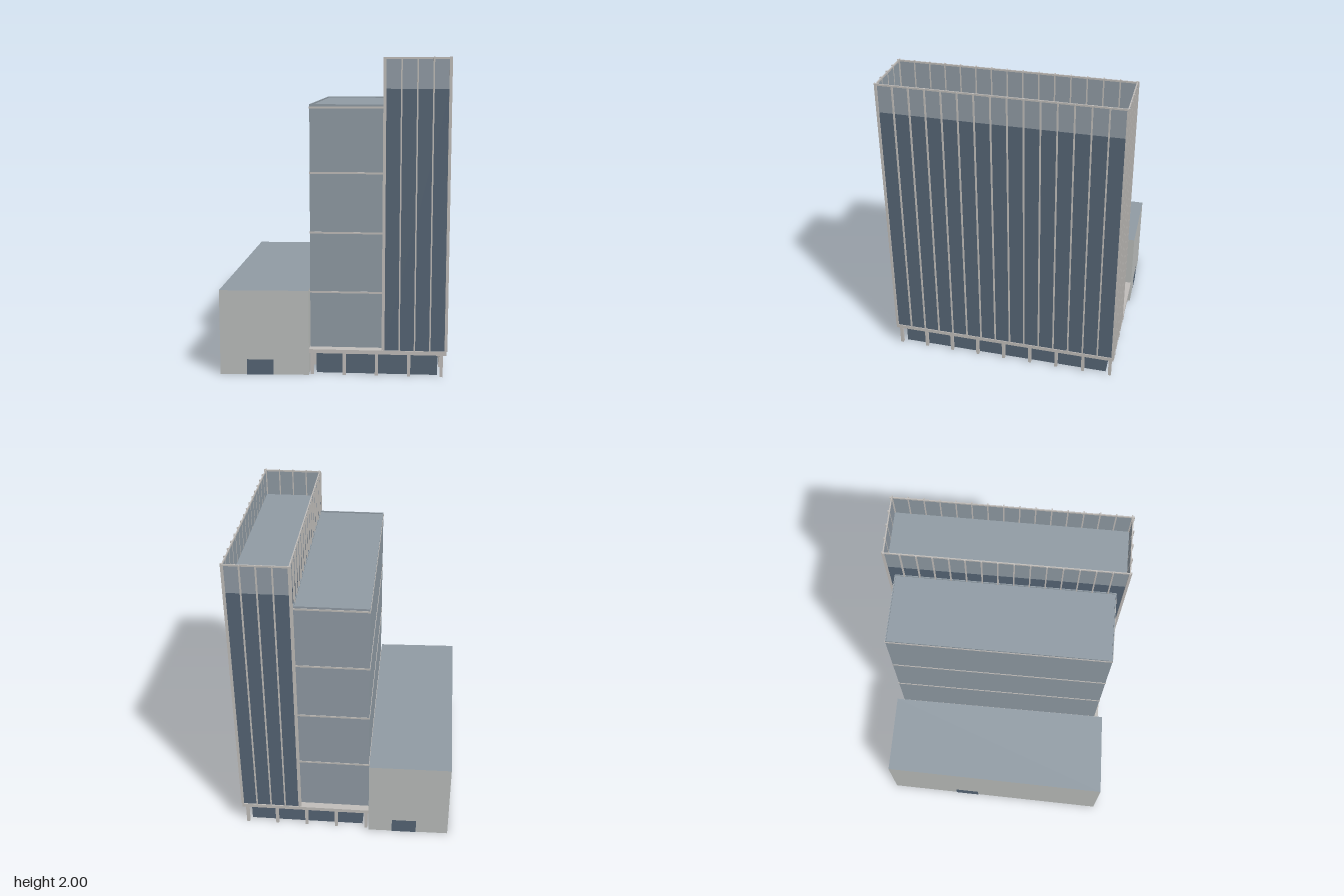
import * as THREE from 'three';

const mat = (name, color) => {
  const m = new THREE.MeshStandardMaterial({ color, side: THREE.DoubleSide });
  m.name = name;
  return m;
};

// Flat-sided surface from a list of four-cornered faces
function quads(faces) {
  const pos = [];
  for (const [a, b, c, d] of faces) for (const p of [a, b, c, a, c, d]) pos.push(...p);
  const g = new THREE.BufferGeometry();
  g.setAttribute('position', new THREE.Float32BufferAttribute(pos, 3));
  g.computeVertexNormals();
  return g;
}

// Upright face from plan point p to plan point q
const upright = (p, q, y0, y1) =>
  [[p[0], y0, p[1]], [q[0], y0, q[1]], [q[0], y1, q[1]], [p[0], y1, p[1]]];
// Ring of walls round a plan, and a level cap on it
const walls = (plan, y0, y1) => quads(plan.map((p, i) => upright(p, plan[(i + 1) % plan.length], y0, y1)));
const cap = (plan, y) => quads([plan.map(([x, z]) => [x, y, z])]);
const rect = (x0, x1, z0, z1) => [[x0, z1], [x1, z1], [x1, z0], [x0, z0]];

export function createModel() {
  const glass = mat('darkGlass', 0x556474);
  const panel = mat('blueGreyPanel', 0x8f9aa3);
  const stone = mat('lightStone', 0xb8bbb9);
  const trim = mat('paleTrim', 0xbfbcb9);

  const model = new THREE.Group();
  model.name = 'officeBuilding';
  const group = (name) => {
    const g = new THREE.Group();
    g.name = name;
    model.add(g);
    return g;
  };
  const add = (parent, name, geometry, material) => {
    const m = new THREE.Mesh(geometry, material);
    m.name = name;
    parent.add(m);
    return m;
  };
  const box = (parent, name, x0, x1, y0, y1, z0, z1, material) =>
    add(parent, name, new THREE.BoxGeometry(x1 - x0, y1 - y0, z1 - z0), material)
      .position.set((x0 + x1) / 2, (y0 + y1) / 2, (z0 + z1) / 2);
  // Four bars round a rectangle, w thick, lying inside it
  const frame = (parent, name, x0, x1, y0, y1, z0, z1, w, material) => {
    box(parent, name, x0, x1, y0, y1, z1 - w, z1, material);
    box(parent, name, x0, x1, y0, y1, z0, z0 + w, material);
    box(parent, name, x0, x0 + w, y0, y1, z0 + w, z1 - w, material);
    box(parent, name, x1 - w, x1, y0, y1, z0 + w, z1 - w, material);
  };

  // Ground floor: recessed glazing, open below, under a slab on columns
  const base = group('groundFloor');
  add(base, 'lobbyGlazing', walls(rect(-0.11, 0.66, -0.72, 0.705), 0, 0.145), glass);
  box(base, 'slab', -0.153, 0.714, 0.145, 0.17, -0.774, 0.758, trim);
  const column = (x, z) => box(base, 'column', x - 0.01, x + 0.01, 0, 0.145, z - 0.01, z + 0.01, trim);
  const backZ = -0.75, frontZ = 0.735, leftX = -0.135, rightX = 0.683;
  for (let i = 0; i < 5; i++) {
    const x = leftX + (rightX - leftX) * i / 4;
    column(x, frontZ);
    column(x, backZ);
  }
  for (let i = 1; i < 8; i++) {
    const z = frontZ + (backZ - frontZ) * i / 8;
    column(leftX, z);
    column(rightX, z);
  }

  // Glass tower with open parapet
  const tower = group('tower');
  const X0 = 0.317, X1 = 0.709, Z0 = -0.767, Z1 = 0.75;
  const towerPlan = rect(X0, X1, Z0, Z1);
  add(tower, 'curtainWall', walls(towerPlan, 0.17, 1.81), glass);
  add(tower, 'parapet', walls(towerPlan, 1.81, 1.99), panel);
  add(tower, 'towerRoof', cap(towerPlan, 1.81), panel);
  frame(tower, 'parapetRail', X0 - 0.003, X1 + 0.003, 1.987, 1.998, Z0 - 0.003, Z1 + 0.003, 0.007, trim);

  // Fins on all four sides of the tower
  const fin = (x, z, w, d) => box(tower, 'fin', x - w / 2, x + w / 2, 0.17, 2, z - d / 2, z + d / 2, trim);
  for (let i = 0; i < 5; i++) {
    const x = X0 + 0.003 + (X1 - X0 - 0.006) * i / 4;
    fin(x, Z1 + 0.005, 0.009, 0.012);
    fin(x, Z0 - 0.005, 0.009, 0.012);
  }
  for (let i = 0; i < 16; i++) {
    const z = Z0 + 0.003 + (Z1 - Z0 - 0.006) * i / 15;
    fin(X1 + 0.005, z, 0.012, 0.009);
    fin(X0 - 0.005, z, 0.012, 0.009);
  }

  // Panelled middle block with floor bands
  const middle = group('middleBlock');
  const M0 = -0.15, M1 = 0.314, B = -0.725, F = 0.7;
  add(middle, 'middleWalls', walls(rect(M0, M1, B, F), 0.17, 1.71), panel);
  add(middle, 'middleRoof', cap(rect(M0, M1, B, F), 1.705), panel);
  for (const y of [0.53, 0.912, 1.29, 1.695])
    frame(middle, 'floorBand', M0 - 0.003, M1, y - 0.006, y + 0.006, B - 0.003, F + 0.003, 0.005, trim);
  frame(middle, 'roofEdge', M0, M1, 1.7, 1.714, B, F, 0.006, panel);

  // Low side annex on a slightly skewed plan, open below
  const annex = group('annex');
  const plan = [[-0.72, 0.778], [-0.155, 0.758], [-0.155, -0.776], [-0.695, -0.77]];
  add(annex, 'annexWalls', walls(plan, 0, 0.55), stone);
  add(annex, 'annexRoof', cap(plan, 0.55), panel);

  // Doors: wall number, then start and end along that wall
  for (const [i, s, e] of [[0, 0.3, 0.6], [2, 0.295, 0.6], [3, 0.307, 0.417]]) {
    const [px, pz] = plan[i], [qx, qz] = plan[(i + 1) % 4];
    const dx = qx - px, dz = qz - pz, k = 0.003 / Math.hypot(dx, dz);
    const at = (t) => [px + dx * t - dz * k, pz + dz * t + dx * k];
    add(annex, 'door', quads([upright(at(s), at(e), 0, 0.1)]), glass);
  }
  return model;
}
